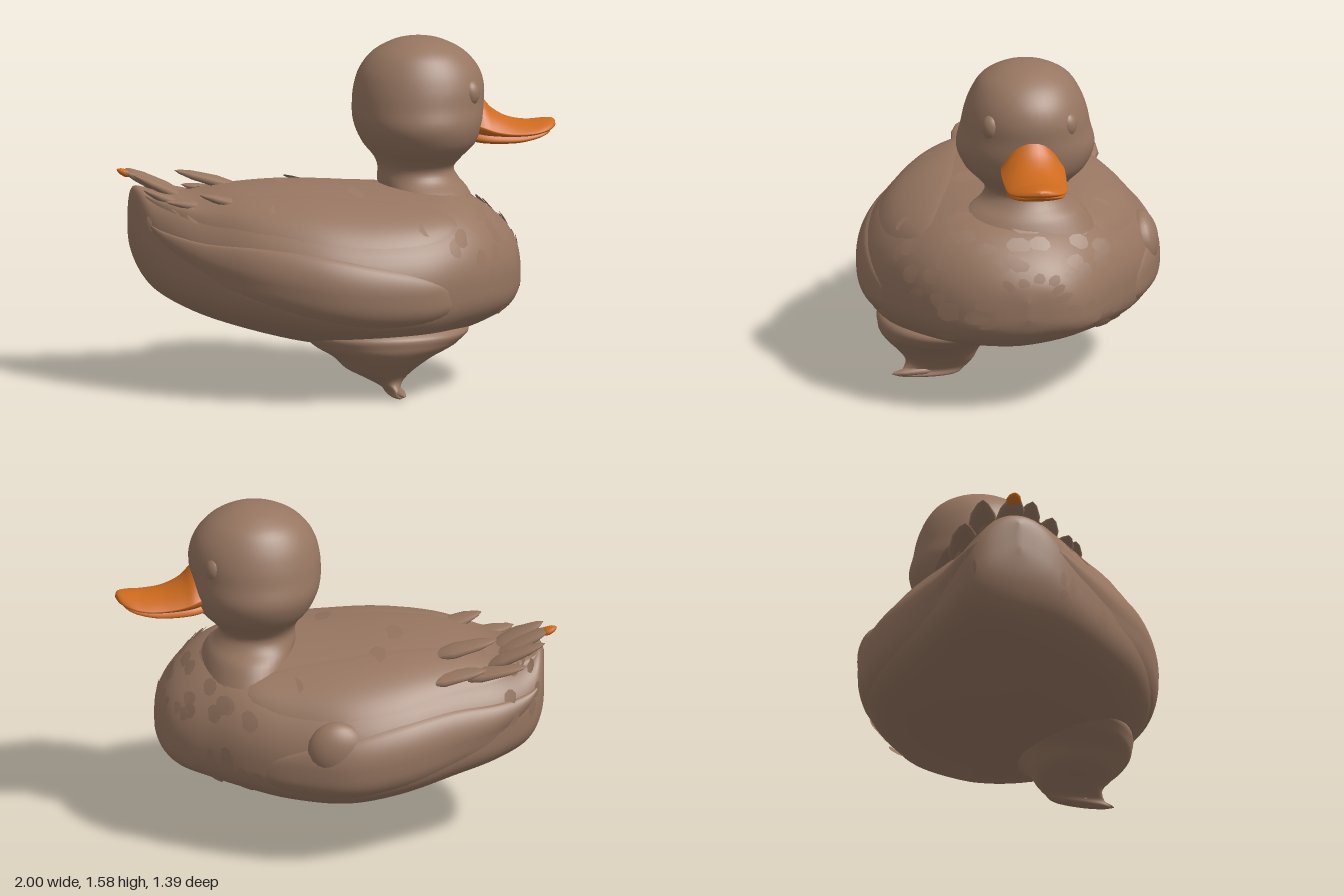
import * as THREE from 'three';
import { mergeGeometries, mergeVertices } from 'three/addons/utils/BufferGeometryUtils.js';

const { sin, cos, sign, abs, pow, PI, min, max, floor } = Math;

// smooth interpolation through rows of numbers, t counted in rows
function sample(rows, t) {
  const n = rows.length - 1, i = min(floor(max(t, 0)), n - 1), f = t - i;
  const [a, b, c, d] = [max(i - 1, 0), i, i + 1, min(i + 2, n)].map(k => rows[k]);
  return b.map((_, k) => b[k] + 0.5 * f * (c[k] - a[k] +
    f * (2 * a[k] - 5 * b[k] + 4 * c[k] - d[k] + f * (3 * (b[k] - c[k]) + d[k] - a[k]))));
}

// surface from a rule f(u, v) -> [x, y, z]
function surface(f, nu, nv) {
  const pos = [], index = [], w = nv + 1;
  for (let i = 0; i <= nu; i++) for (let j = 0; j <= nv; j++) pos.push(...f(i / nu, j / nv));
  for (let i = 0; i < nu; i++) for (let j = 0; j < nv; j++) {
    const a = i * w + j, b = a + w;
    index.push(a, b, b + 1, a, b + 1, a + 1);
  }
  let g = new THREE.BufferGeometry();
  g.setAttribute('position', new THREE.Float32BufferAttribute(pos, 3));
  g.setIndex(index);
  g = mergeVertices(g, 1e-5);
  g.computeVertexNormals();
  return g;
}

// upright loft: rows of [y, centre x, radius x, centre z, radius z]
const column = rows => surface((u, v) => {
  const [y, cx, rx, cz, rz] = sample(rows, u * (rows.length - 1)), a = v * 2 * PI;
  return [cx + max(rx, 0) * cos(a), y, cz + max(rz, 0) * sin(a)];
}, 48, 48);

// body rows: [x, top, bottom, centre z, half width]
const BODY = [
  [-0.945, 0.86, 0.74, -0.19, 0], [-0.92, 0.91, 0.58, -0.19, 0.16], [-0.85, 0.9, 0.45, -0.16, 0.27],
  [-0.7, 0.89, 0.36, -0.09, 0.4], [-0.5, 0.92, 0.295, -0.03, 0.53], [-0.25, 0.93, 0.235, -0.01, 0.64],
  [0, 0.92, 0.205, 0, 0.675], [0.25, 0.91, 0.215, 0.03, 0.625], [0.45, 0.9, 0.255, 0.04, 0.535],
  [0.6, 0.845, 0.295, 0.04, 0.43], [0.72, 0.755, 0.34, 0.02, 0.31], [0.79, 0.66, 0.41, 0, 0.18],
  [0.815, 0.57, 0.49, 0, 0],
];
const END = BODY.length - 1;

// point on the body at row t and angle a, raised by lift; the belly is flattened and rises to the right
function bodyPoint(t, a, lift = 0) {
  const [x, top, bottom, cz, w] = sample(BODY, t);
  const c = cos(a), s = sin(a), mid = bottom + 0.42 * (top - bottom);
  const dz = max(w, 0) * sign(c) * pow(abs(c), 0.9);
  const dy = s > 0 ? (top - mid) * pow(s, 0.95)
    : -(mid - bottom) * pow(-s, 0.62) + 0.08 * max(-dz, 0) * s * s;
  const k = 1 + lift / (Math.hypot(dy, dz) + 1e-4);
  return [x, mid + dy * k, cz + dz * k];
}

// bulging leaf-shaped patch on one side of the body: crisp upper edge, soft lower edge, climbing to the tail
const wingPatch = (side, t0, t1, a, climb, da, lift) => surface((u, v) => {
  const s = 2 * v - 1, up = s * side, width = pow(max(sin(PI * pow(u, 1.5)), 0), 0.5);
  const across = pow(max(1 - s * s, 0), up > 0 ? 0.5 : 1.5);
  const puff = across * pow(max(1 - pow(2 * u - 1, 4), 0), 0.5);
  const angle = a + climb * (1 - u);
  return bodyPoint(t0 + (t1 - t0) * u, (side > 0 ? angle : PI - angle) + s * da * width, lift * puff - 0.004);
}, 36, 20);

// small feather whose rear tip stands off the body
const feather = (t, a, length, da, lift) => surface((u, v) => {
  const width = pow(max(sin(PI * (0.08 + 0.92 * u)), 0), 0.8);
  return bodyPoint(t - length * (1 - u), a + (2 * v - 1) * da * width, lift * (1 - u) - 0.004);
}, 4, 4);

export function createModel() {
  const group = new THREE.Group();
  const brown = new THREE.MeshStandardMaterial({ color: 0x977661, side: THREE.DoubleSide });
  brown.name = 'plumage brown';
  const orange = new THREE.MeshStandardMaterial({ color: 0xcd6a1e, side: THREE.DoubleSide });
  orange.name = 'bill orange';
  const add = (name, geometry, material = brown) => {
    const m = new THREE.Mesh(geometry, material);
    m.name = name;
    group.add(m);
    return m;
  };
  const ball = (name, p, r) => {
    const m = add(name, new THREE.SphereGeometry(1, 24, 16));
    m.position.set(...p);
    m.scale.set(...r);
    return m;
  };
  // flat pointed blade from one point to another
  const blade = (name, from, to, width, thick, material) => {
    const a = new THREE.Vector3(...from), b = new THREE.Vector3(...to);
    const y = b.clone().sub(a), length = y.length();
    y.normalize();
    const x = new THREE.Vector3().crossVectors(y, new THREE.Vector3(0, 1, 0)).normalize();
    const z = new THREE.Vector3().crossVectors(x, y);
    const profile = [[0, 0], [0.7, 0.15], [1, 0.4], [0.75, 0.75], [0.35, 0.93], [0, 1]]
      .map(p => new THREE.Vector2(p[0], p[1] * length));
    const g = new THREE.LatheGeometry(profile, 12);
    g.scale(width, 1, thick);
    g.applyMatrix4(new THREE.Matrix4().makeBasis(x, y, z).setPosition(a));
    return add(name, g, material);
  };

  add('body', surface((u, v) => bodyPoint(u * END, v * 2 * PI), 72, 72));

  // neck and head
  add('head', column([
    [0.8, 0.4, 0.22, -0.02, 0.33], [0.88, 0.385, 0.2, -0.03, 0.27], [0.93, 0.36, 0.185, -0.035, 0.205],
    [0.98, 0.35, 0.173, -0.035, 0.183], [1.03, 0.36, 0.2, -0.035, 0.215], [1.1, 0.365, 0.26, -0.035, 0.28],
    [1.19, 0.36, 0.293, -0.035, 0.316], [1.28, 0.36, 0.3, -0.035, 0.297], [1.36, 0.365, 0.297, -0.035, 0.28],
    [1.44, 0.365, 0.27, -0.035, 0.25], [1.51, 0.363, 0.21, -0.035, 0.203], [1.555, 0.363, 0.13, -0.035, 0.13],
    [1.574, 0.363, 0.065, -0.035, 0.065], [1.58, 0.363, 0, -0.035, 0],
  ]));
  for (const s of [1, -1]) ball('eye', [0.563, 1.34, -0.03 + s * 0.172], [0.045, 0.06, 0.047]).rotation.y = -s * 0.5;

  // bill halves: rows of [x, top, bottom, half width]; a larger peak sharpens the ridge
  const bill = (rows, peak) => surface((u, v) => {
    const [x, top, bottom, w] = sample(rows, u * (rows.length - 1)), a = v * 2 * PI;
    const mid = bottom + 0.3 * (top - bottom), s = sin(a), p = 1 + (peak - 1) * (1 - u);
    return [x, mid + (s > 0 ? (top - mid) * pow(s, p) : (mid - bottom) * s), -0.035 + max(w, 0) * cos(a)];
  }, 32, 36);
  add('upperBill', bill([
    [0.56, 1.36, 1.12, 0.11], [0.64, 1.31, 1.105, 0.143], [0.7, 1.24, 1.105, 0.147], [0.78, 1.193, 1.105, 0.143],
    [0.87, 1.175, 1.11, 0.135], [0.94, 1.178, 1.122, 0.108], [0.985, 1.178, 1.14, 0.06], [1, 1.165, 1.155, 0],
  ], 2.6), orange);
  add('lowerBill', bill([
    [0.56, 1.17, 1.1, 0.1], [0.66, 1.165, 1.08, 0.132], [0.8, 1.15, 1.077, 0.132],
    [0.9, 1.15, 1.095, 0.115], [0.955, 1.15, 1.117, 0.078], [0.98, 1.14, 1.135, 0],
  ], 1), orange);

  // folded wings above the flanks, on both sides
  for (const [name, side] of [['left', 1], ['right', -1]]) {
    add(name + 'Flank', wingPatch(side, 1.2, 7.65, -0.12, 0.45, 0.36, 0.024));
    add(name + 'Wing', wingPatch(side, 1.2, 8, 0.75, 0.3, 0.4, 0.016));
  }
  ball('rightShoulder', [0.05, 0.585, -0.595], [0.14, 0.14, 0.085]);

  // overlapping breast and back feathers
  let seed = 7;
  const rand = () => (seed = (seed * 16807) % 2147483647) / 2147483647;
  const feathers = [];
  const scatter = (count, t, dt, a, da, length, width) => {
    for (let i = 0; i < count; i++)
      feathers.push(feather(t + rand() * dt, a + rand() * da, length, width, 0.01 + rand() * 0.014));
  };
  scatter(60, 8, 3.5, -0.6, 4.3, 0.45, 0.13);
  scatter(14, 2.5, 5, 0.7, 1.7, 0.35, 0.1);
  scatter(18, 1.4, 1.6, -0.5, 4.1, 0.4, 0.15);
  add('smallFeathers', mergeGeometries(feathers));

  // tail and wing-tip feathers
  const tail = [
    [[-0.68, 0.83, -0.2], [-0.985, 0.985, -0.22]], [[-0.66, 0.83, -0.14], [-0.95, 0.975, -0.13]],
    [[-0.64, 0.82, -0.28], [-0.93, 0.965, -0.36]], [[-0.66, 0.8, -0.06], [-0.92, 0.92, -0.03]],
    [[-0.52, 0.8, -0.34], [-0.84, 0.88, -0.42]], [[-0.5, 0.82, 0.03], [-0.84, 0.88, 0.07]],
    [[-0.4, 0.87, -0.24], [-0.72, 0.96, -0.28]], [[-0.4, 0.83, 0.12], [-0.7, 0.92, 0.14]],
    [[-0.34, 0.8, -0.38], [-0.66, 0.87, -0.41]],
  ];
  for (const [from, to] of tail) blade('tailFeather', from, to, 0.075, 0.025);
  blade('tailTip', [-0.93, 0.955, -0.222], [-1, 0.985, -0.225], 0.035, 0.018, orange);

  // lowered left leg with a small webbed foot
  add('leftLeg', column([
    [0, 0.15, 0, 0.42, 0], [0.012, 0.15, 0.028, 0.4, 0.13], [0.04, 0.14, 0.035, 0.36, 0.14],
    [0.08, 0.12, 0.085, 0.33, 0.155], [0.13, 0.1, 0.16, 0.335, 0.19], [0.19, 0.11, 0.235, 0.345, 0.235],
    [0.25, 0.12, 0.34, 0.34, 0.27], [0.32, 0.12, 0.37, 0.3, 0.28], [0.4, 0.12, 0, 0.3, 0],
  ]));
  blade('leftFoot', [0.135, 0.04, 0.3], [0.165, 0.025, 0.555], 0.035, 0.022);

  return group;
}
